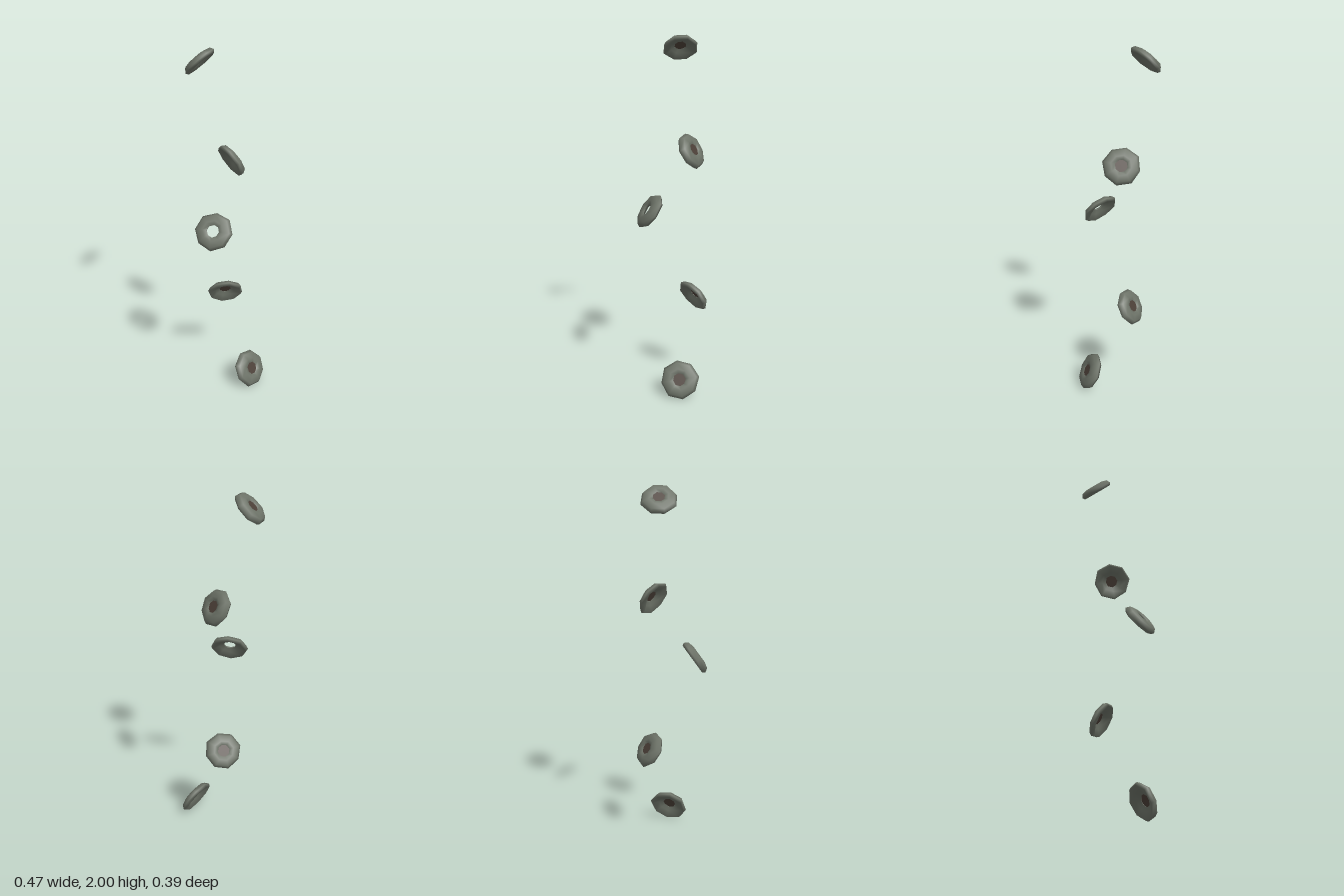
import * as THREE from 'three';

// Cross-section of a unit ring: domed on its upper face, hollow below
const PROFILE = [
  [0.33, 0.13], [0.55, 0.02], [0.90, -0.17], [1.0, -0.03],
  [0.87, 0.18], [0.54, 0.26], [0.33, 0.20], [0.33, 0.13],
].map(([r, h]) => new THREE.Vector2(r, h));

// Position, facing direction, outer radius, roll about the face, and whether the hole is filled
const RINGS = [
  { at: [0.170, 0.10, -0.026], face: [0.86, 0.46, 0.20], radius: 0.110, roll: 0, core: true },
  { at: [-0.045, 0.528, -0.120], face: [-0.49, 0.50, -0.71], radius: 0.104, roll: 0, core: true },
  { at: [0.016, 1.056, 0.132], face: [0.18, 0.58, 0.80], radius: 0.106, roll: 0.2, core: false },
  { at: [0.005, 1.388, -0.098], face: [0.46, 0.48, -0.74], radius: 0.104, roll: 0, core: true },
  { at: [-0.164, 1.929, -0.05], face: [-0.70, 0.71, 0.04], radius: 0.099, roll: Math.PI / 8, core: true },
];

// Eight-sided ring with a gently uneven outline
function ringGeometry(seed) {
  const geometry = new THREE.LatheGeometry(PROFILE, 8);
  const pos = geometry.attributes.position;
  for (let i = 0; i < pos.count; i++) {
    const x = pos.getX(i), z = pos.getZ(i);
    const k = 1 + 0.02 * Math.sin(3 * Math.atan2(z, x) + seed * 1.7);
    pos.setX(i, x * k);
    pos.setZ(i, z * k);
  }
  return geometry;
}

export function createModel() {
  const stone = new THREE.MeshStandardMaterial({ color: 0x6d7368 });
  stone.name = 'grey green stone';
  const brown = new THREE.MeshStandardMaterial({ color: 0x4c4038 });
  brown.name = 'dark brown core';

  const model = new THREE.Group();
  model.name = 'floatingRings';
  const up = new THREE.Vector3(0, 1, 0);
  const coreGeometry = new THREE.CylinderGeometry(0.34, 0.34, 0.04, 8);

  RINGS.forEach(({ at, face, radius, roll, core }, i) => {
    const piece = new THREE.Group();
    piece.name = `ring${i + 1}`;

    const body = new THREE.Mesh(ringGeometry(i), stone);
    body.name = 'ringBody';
    body.rotation.y = roll;
    piece.add(body);

    // Plug closing the hole near the upper face
    if (core) {
      const plug = new THREE.Mesh(coreGeometry, brown);
      plug.name = 'core';
      plug.position.y = 0.165;
      plug.rotation.y = roll;
      piece.add(plug);
    }

    piece.position.set(...at);
    piece.quaternion.setFromUnitVectors(up, new THREE.Vector3(...face).normalize());
    piece.scale.setScalar(radius);
    model.add(piece);
  });
  return model;
}
